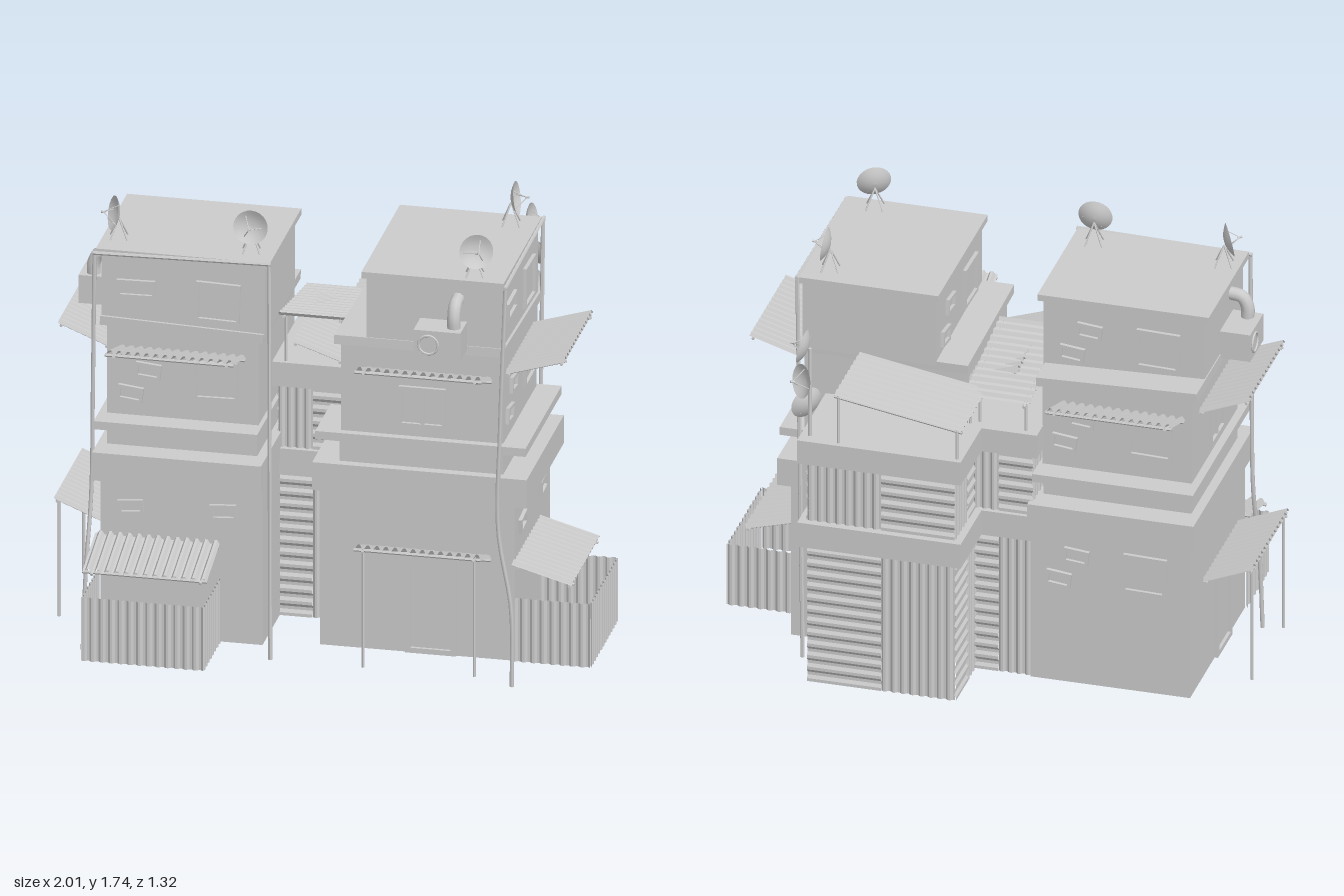
import * as THREE from 'three';

const mat = new THREE.MeshStandardMaterial({ color: 0xcccccc, flatShading: true });
const thin = new THREE.MeshStandardMaterial({ color: 0xcccccc, flatShading: true, side: THREE.DoubleSide });
const smooth = new THREE.MeshStandardMaterial({ color: 0xcccccc, side: THREE.DoubleSide });
const V = (x, y, z) => new THREE.Vector3(x, y, z);

function add(parent, name, geo, m = mat) {
  const mesh = new THREE.Mesh(geo, m);
  mesh.name = name;
  parent.add(mesh);
  return mesh;
}

// Box given by its limits on each axis
function box(parent, name, x0, x1, y0, y1, z0, z1) {
  const b = add(parent, name, new THREE.BoxGeometry(x1 - x0, y1 - y0, z1 - z0));
  b.position.set((x0 + x1) / 2, (y0 + y1) / 2, (z0 + z1) / 2);
  return b;
}

// Straight round bar between two points
function rod(parent, name, a, b, r = 0.006) {
  const m = add(parent, name, new THREE.CylinderGeometry(r, r, a.distanceTo(b), 6));
  m.position.copy(a).lerp(b, 0.5);
  m.quaternion.setFromUnitVectors(V(0, 1, 0), b.clone().sub(a).normalize());
}

// Corrugated sheet from a corner o; waves repeat along edge u, ridges run along edge v
function sheet(parent, name, o, u, v, pitch = 0.035, amp = 0.004) {
  const n = Math.max(2, Math.round(u.length() / pitch)) * 4;
  const geo = new THREE.PlaneGeometry(1, 1, n, 1);
  const pos = geo.attributes.position;
  const nrm = u.clone().cross(v).normalize();
  for (let i = 0; i < pos.count; i++) {
    const k = i % (n + 1);
    const wave = k % 4 < 2 ? amp : -amp;
    const p = o.clone().addScaledVector(u, k / n).addScaledVector(v, pos.getY(i) + 0.5).addScaledVector(nrm, wave);
    pos.setXYZ(i, p.x, p.y, p.z);
  }
  geo.computeVertexNormals();
  add(parent, name, geo, thin);
}

// Window or door: raised frame around a pane, on a wall facing +z
function opening(parent, name, x, y, w, h, z, tilt = 0, t = 0.012) {
  const g = new THREE.Group();
  g.name = name;
  const s = new THREE.Shape([[-1, -1], [1, -1], [1, 1], [-1, 1]].map(([a, b]) => new THREE.Vector2(a * w / 2, b * h / 2)));
  s.holes.push(new THREE.Path([[-1, -1], [-1, 1], [1, 1], [1, -1]].map(([a, b]) => new THREE.Vector2(a * (w / 2 - t), b * (h / 2 - t)))));
  add(g, name + 'Frame', new THREE.ExtrudeGeometry(s, { depth: 0.02, bevelEnabled: false }));
  box(g, name + 'Pane', -w / 2 + t, w / 2 - t, -h / 2 + t, h / 2 - t, 0, 0.008);
  g.position.set(x, y, z - 0.006);
  g.rotation.z = tilt;
  parent.add(g);
}

// Awning from the wall (y0, z0) to its free edge (y1, z1)
function awning(parent, x0, x1, y0, z0, y1, z1, posts) {
  const g = new THREE.Group();
  g.name = 'awning';
  sheet(g, 'awningSheet', V(x0, y0, z0), V(x1 - x0, 0, 0), V(0, y1 - y0, z1 - z0), 0.035, 0.007);
  for (const t of [0.08, 0.95]) {
    const y = y0 + (y1 - y0) * t - 0.014, z = z0 + (z1 - z0) * t;
    rod(g, 'awningRail', V(x0, y, z), V(x1, y, z));
  }
  for (const x of [x0 + 0.035, x1 - 0.025]) {
    rod(g, 'awningRib', V(x, y0 - 0.016, z0), V(x, y1 - 0.016, z1));
    if (posts) rod(g, 'awningPost', V(x, 0.075, z1 - 0.012), V(x, y1 - 0.01, z1 - 0.012));
  }
  parent.add(g);
}

// Satellite dish whose bowl looks along dir; stands on legs when floorY is given
function dish(parent, c, dir, r = 0.064, floorY = null) {
  const g = new THREE.Group();
  g.name = 'satelliteDish';
  const pts = [0, 0.25, 0.5, 0.75, 1].map(t => new THREE.Vector2(r * t, 0.022 * t * t));
  const bowl = new THREE.Group();
  add(bowl, 'dishBowl', new THREE.LatheGeometry(pts, 24), smooth);
  for (let i = 0; i < 3; i++) {
    const a = i * 2.094;
    rod(bowl, 'feedArm', V(Math.cos(a) * r * 0.7, 0.01, Math.sin(a) * r * 0.7), V(0, 0.06, 0), 0.0018);
  }
  rod(bowl, 'feedHorn', V(0, 0.052, 0), V(0, 0.068, 0), 0.005);
  bowl.position.copy(c);
  bowl.quaternion.setFromUnitVectors(V(0, 1, 0), dir.clone().normalize());
  g.add(bowl);
  if (floorY !== null) for (let i = 0; i < 4; i++) {
    const a = i * Math.PI / 2 + 0.6;
    rod(g, 'dishLeg', V(c.x + Math.cos(a) * 0.045, floorY, c.z + Math.sin(a) * 0.045), V(c.x, c.y - 0.015, c.z), 0.003);
  }
  parent.add(g);
}

// Group whose +z points out of one side of the tower
function side(parent, name, angle) {
  const g = new THREE.Group();
  g.name = name;
  g.rotation.y = angle;
  parent.add(g);
  return g;
}

function tower(name) {
  const g = new THREE.Group();
  g.name = name;
  // Storeys and slabs
  box(g, 'baseStorey', -0.3, 0.305, 0.075, 0.7, -0.36, 0.365);
  box(g, 'lowerParapet', -0.32, 0.31, 0.69, 0.8, -0.385, 0.415);
  box(g, 'recess', -0.285, 0.275, 0.8, 0.89, -0.29, 0.32);
  box(g, 'balconySlab', -0.315, 0.295, 0.89, 0.922, -0.375, 0.41);
  box(g, 'middleStorey', -0.285, 0.28, 0.92, 1.27, -0.285, 0.32);
  box(g, 'upperSlab', -0.31, 0.3, 1.26, 1.295, -0.305, 0.33).rotation.z = -0.035;
  box(g, 'topStorey', -0.305, 0.305, 1.27, 1.55, -0.185, 0.32);
  box(g, 'roofSlab', -0.325, 0.325, 1.545, 1.57, -0.2, 0.33);

  // Main face
  const f = side(g, 'mainFace', 0);
  opening(f, 'window', -0.175, 1.423, 0.145, 0.068, 0.32, 0.02);
  opening(f, 'window', 0.13, 1.395, 0.165, 0.155, 0.32, -0.03);
  opening(f, 'window', -0.13, 1.103, 0.095, 0.06, 0.32, -0.1);
  opening(f, 'window', -0.197, 1.008, 0.095, 0.06, 0.32, -0.12);
  opening(f, 'window', 0.122, 1.085, 0.165, 0.15, 0.32, 0.02);
  opening(f, 'window', -0.185, 0.58, 0.095, 0.055, 0.365, 0.1);
  opening(f, 'window', 0.16, 0.588, 0.1, 0.06, 0.365, 0.07);
  awning(f, -0.247, 0.233, 1.185, 0.31, 1.255, 0.54);
  awning(f, -0.32, 0.145, 0.468, 0.36, 0.405, 0.585);

  // Open yard of corrugated sheets
  sheet(f, 'yardFront', V(-0.305, 0.075, 0.65), V(0.452, 0, 0), V(0, 0.25, 0));
  for (const x of [-0.305, 0.147]) sheet(f, 'yardSide', V(x, 0.075, 0.36), V(0, 0, 0.29), V(0, 0.25, 0));

  // Entrance face
  const e = side(g, 'entranceFace', -Math.PI / 2);
  opening(e, 'door', 0.055, 0.27, 0.19, 0.385, 0.3, 0, 0.02);
  opening(e, 'window', 0.02, 1.042, 0.175, 0.155, 0.285);
  box(e, 'windowMullion', 0.013, 0.027, 0.97, 1.115, 0.28, 0.297);
  awning(e, -0.195, 0.28, 1.172, 0.28, 1.25, 0.475);
  awning(e, -0.195, 0.28, 0.475, 0.295, 0.555, 0.49, true);

  // Cooling unit with elbow duct
  box(e, 'coolingUnit', 0.015, 0.19, 1.29, 1.4, 0.3, 0.42);
  add(e, 'fanRing', new THREE.TorusGeometry(0.036, 0.005, 6, 20)).position.set(0.07, 1.345, 0.422);
  const bend = new THREE.CatmullRomCurve3([V(0.155, 1.39, 0.37), V(0.155, 1.44, 0.37), V(0.155, 1.478, 0.35), V(0.155, 1.488, 0.3)]);
  add(e, 'duct', new THREE.TubeGeometry(bend, 10, 0.025, 10), smooth);

  // Rear face
  const r = side(g, 'rearFace', Math.PI);
  for (const [y, z] of [[0.56, 0.36], [1.085, 0.285], [1.4, 0.185]]) {
    opening(r, 'window', -0.13, y + 0.04, 0.095, 0.06, z, -0.1);
    opening(r, 'window', -0.197, y - 0.06, 0.095, 0.06, z, -0.12);
    opening(r, 'window', 0.13, y, 0.165, 0.155, z, -0.03);
  }
  awning(r, -0.22, 0.26, 1.185, 0.28, 1.25, 0.47);

  // Drain pipes and roof-edge pipe
  const bent = new THREE.CatmullRomCurve3([V(-0.365, 0, 0.37), V(-0.355, 0.3, 0.365), V(-0.345, 0.6, 0.315), V(-0.338, 1, 0.32), V(-0.328, 1.55, 0.338)]);
  add(g, 'bentPipe', new THREE.TubeGeometry(bent, 24, 0.008, 6), smooth);
  rod(g, 'straightPipe', V(0.323, 0, 0.315), V(0.323, 1.57, 0.335), 0.008);
  rod(g, 'roofPipe', V(-0.335, 1.555, 0.337), V(0.33, 1.568, 0.337), 0.007);

  // Roof dishes
  dish(g, V(-0.265, 1.665, 0.21), V(-0.85, 0.2, 0.42), 0.064, 1.57);
  dish(g, V(0.235, 1.67, 0.235), V(0.05, 0.15, 1), 0.064, 1.57);
  return g;
}

// Four walls of corrugated sheets, each split in two with crossing ridges
function cladding(parent, name, x0, x1, z0, z1, y0, y1, flip) {
  const c = [V(x0, y0, z0), V(x1, y0, z0), V(x1, y0, z1), V(x0, y0, z1)];
  const up = V(0, y1 - y0, 0);
  c.forEach((a, i) => {
    const half = c[(i + 1) % 4].clone().sub(a).multiplyScalar(0.5);
    for (let k = 0; k < 2; k++) {
      const o = a.clone().addScaledVector(half, k);
      if ((k === 1) === flip) sheet(parent, name, o, up, half, 0.05);
      else sheet(parent, name, o, half, up);
    }
  });
}

// Two-storey corrugated building with two parapets
function annex(name, x0, x1, z0, z1, i) {
  const g = new THREE.Group();
  g.name = name;
  cladding(g, 'lowerWall', x0 + i, x1 - i, z0 + i, z1 - i, 0.075, 0.65, true);
  box(g, 'lowerParapet', x0, x1, 0.64, 0.74, z0, z1);
  cladding(g, 'upperWall', x0 + i, x1 - i, z0 + i, z1 - i, 0.74, 0.99, false);
  box(g, 'upperParapet', x0, x1, 0.985, 1.08, z0, z1);
  return g;
}

export function createModel() {
  const model = new THREE.Group();
  model.name = 'hillsideHouses';

  const a = tower('rightTower');
  a.position.set(-0.508, 0, 0);
  const b = tower('leftTower');
  b.rotation.y = Math.PI / 2;
  b.position.set(0.36, 0, 0.012);
  model.add(a, b);

  const back = annex('backAnnex', -0.02, 0.6, -0.645, -0.26, 0.03);
  const mid = annex('middleAnnex', -0.23, 0.07, -0.37, 0.09, 0.02);
  model.add(back, mid);

  // Canopies on posts above the annexes
  sheet(back, 'canopy', V(-0.02, 1.2, -0.64), V(0, 0, 0.345), V(0.485, 0.08, 0), 0.04, 0.006);
  for (const z of [-0.62, -0.32]) {
    rod(back, 'canopyPost', V(0, 1.08, z), V(0, 1.2, z));
    rod(back, 'canopyPost', V(0.45, 1.08, z), V(0.45, 1.275, z));
    rod(back, 'canopyRail', V(-0.02, 1.19, z), V(0.465, 1.27, z));
  }
  sheet(mid, 'canopy', V(-0.2, 1.2, -0.37), V(0, 0.08, 0.48), V(0.25, 0, 0), 0.04, 0.006);
  for (const x of [-0.18, 0.03]) {
    rod(mid, 'canopyPost', V(x, 1.08, -0.34), V(x, 1.2, -0.34));
    rod(mid, 'canopyPost', V(x, 1.08, 0.07), V(x, 1.27, 0.07));
    rod(mid, 'canopyRail', V(x, 1.19, -0.37), V(x, 1.27, 0.11));
  }

  // Mast with three dishes
  rod(back, 'dishMast', V(0.565, 1.08, -0.595), V(0.565, 1.44, -0.595), 0.007);
  dish(back, V(0.575, 1.435, -0.585), V(1, 0.2, 0.05));
  dish(back, V(0.575, 1.31, -0.607), V(0.7, 0.2, -0.7));
  dish(back, V(0.575, 1.19, -0.57), V(0.75, 0.15, 0.65));
  return model;
}
